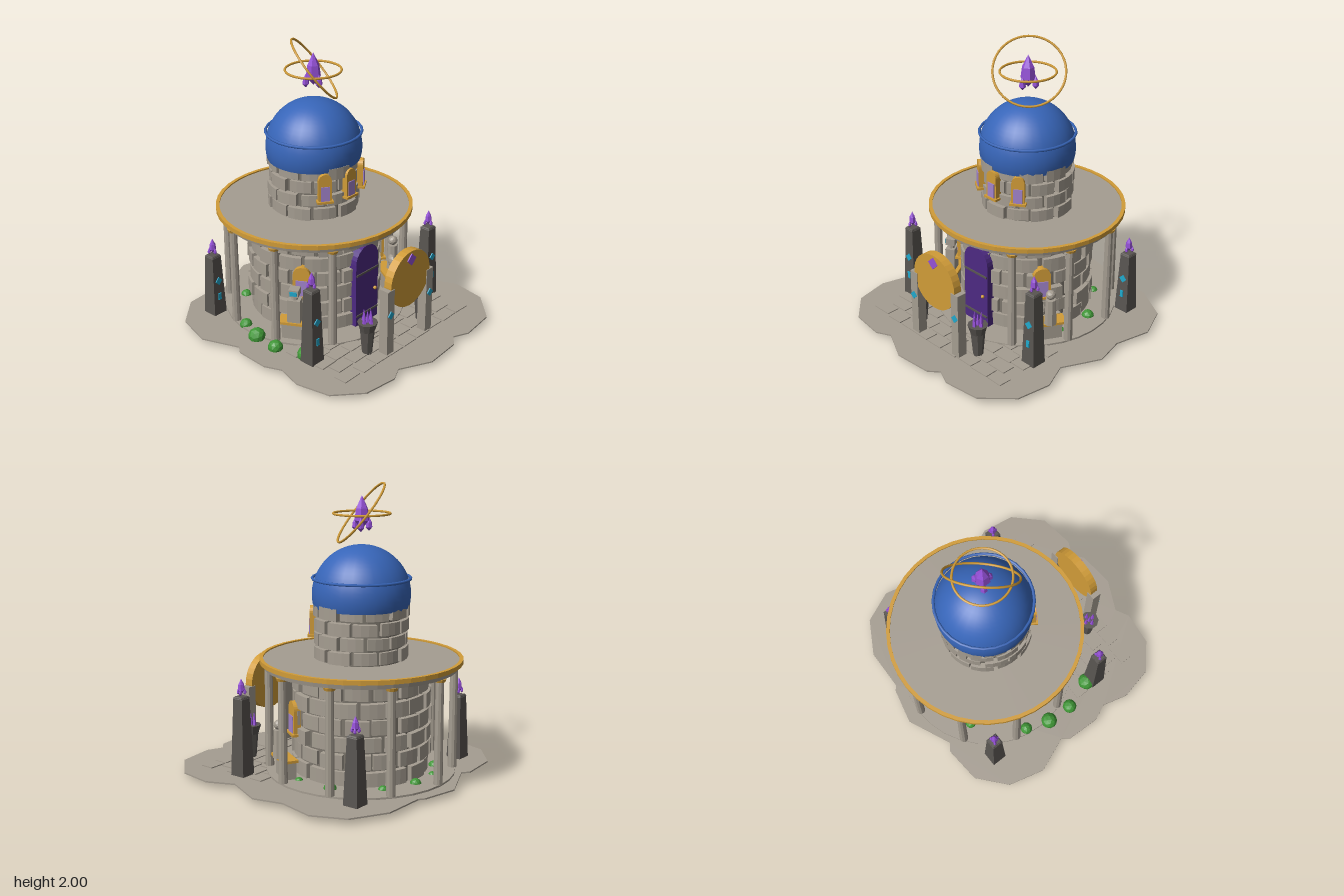
import * as THREE from 'three';
import { mergeGeometries } from 'three/addons/utils/BufferGeometryUtils.js';

const paint = (name, color) => Object.assign(new THREE.MeshStandardMaterial({ color }), { name });
const stone = paint('stone', 0xa59d91), mortar = paint('mortar', 0x7d776d), dark = paint('dark stone', 0x595551);
const gold = paint('gold', 0xd19c38), blue = paint('dome blue', 0x3765b8), crystal = paint('crystal purple', 0x9550d8);
const doorPaint = paint('door purple', 0x4d2a82), pane = paint('window violet', 0xa284cc);
const cyan = paint('rune cyan', 0x20a8cc), green = paint('bush green', 0x3f9636);

const TZ = -0.2; // tower axis
let seed = 7;
const rnd = () => ((seed = (seed * 16807) % 2147483647) / 2147483647);
const jit = (a) => (rnd() - 0.5) * 2 * a;

function flat(geo) {
  const g = geo.index ? geo.toNonIndexed() : geo;
  g.computeVertexNormals();
  return g;
}
function add(parent, name, geo, mat, x = 0, y = 0, z = 0) {
  const m = new THREE.Mesh(geo, mat);
  m.name = name;
  m.position.set(x, y, z);
  parent.add(m);
  return m;
}
function group(parent, name, x = 0, y = 0, z = 0, turn = 0) {
  const g = new THREE.Group();
  g.name = name;
  g.position.set(x, y, z);
  g.rotation.y = turn;
  parent.add(g);
  return g;
}
const box = (w, h, d) => new THREE.BoxGeometry(w, h, d);
const cyl = (top, bottom, h, n) => flat(new THREE.CylinderGeometry(top, bottom, h, n));

// Arched slab standing on y = 0, facing +z
function arch(w, h, d) {
  const r = w / 2, s = new THREE.Shape();
  s.moveTo(-r, 0);
  s.lineTo(r, 0);
  s.lineTo(r, h - r);
  s.absarc(0, h - r, r, 0, Math.PI, false);
  return new THREE.ExtrudeGeometry(s, { depth: d, bevelEnabled: false, curveSegments: 6 });
}

// Courses of chamfered blocks bent around the tower
function masonry(radius, y0, rows, rowH, count) {
  const parts = [];
  for (let r = 0; r < rows; r++) {
    for (let i = 0; i < count; i++) {
      const step = (Math.PI * 2) / count;
      const g = new THREE.BoxGeometry(step * radius - 0.014, rowH - 0.01 + jit(0.005), 0.08, 3, 1, 1);
      const p = g.attributes.position, out = jit(0.012), tilt = jit(0.03);
      const a0 = (i + (r % 2) / 2) * step + jit(0.025);
      for (let k = 0; k < p.count; k++) {
        const x = p.getX(k), y = p.getY(k), z = p.getZ(k), c = z > 0 ? 0.93 : 1;
        const a = a0 + (x * c) / radius, R = radius - 0.04 + z + out;
        p.setXYZ(k, R * Math.sin(a), y0 + (r + 0.5) * rowH + y * c + x * tilt, R * Math.cos(a));
      }
      parts.push(flat(g));
    }
  }
  return mergeGeometries(parts);
}

// Pointed crystal with three small shoots, height about 1
function crystalCluster(parent, x, y, z, s) {
  const g = group(parent, 'crystalCluster', x, y, z);
  g.scale.setScalar(s);
  const spike = (r, h) => flat(new THREE.LatheGeometry(
    [[0, 0], [r, h * 0.27], [r * 0.8, h * 0.62], [0, h]].map((q) => new THREE.Vector2(...q)), 6));
  add(g, 'mainCrystal', spike(0.22, 0.95), crystal, 0, 0.05, 0);
  for (let i = 0; i < 3; i++) {
    const a = (i * Math.PI * 2) / 3 + Math.PI / 2;
    add(g, 'smallCrystal', spike(0.1, 0.4), crystal, Math.cos(a) * 0.22, 0, Math.sin(a) * 0.22);
  }
}

const diamond = (s) => box(s, s, 0.008).rotateZ(Math.PI / 4);

function windowAt(parent, turn, R, y, w, h) {
  const g = group(parent, 'window', 0, y, TZ, turn);
  add(g, 'windowFrame', arch(w, h, 0.05), gold, 0, 0, R - 0.05);
  add(g, 'windowPane', box(w * 0.68, h * 0.52, 0.008), pane, 0, h * 0.3, R + 0.002);
  add(g, 'windowSill', box(w * 1.25, 0.016, 0.06), gold, 0, 0, R - 0.015);
}

export function createModel() {
  const model = new THREE.Group();
  model.name = 'observatoryTower';

  // Scalloped ground (x, z pairs)
  const rim = [-65, -83, -38, -85, -33, -81, -1, -95, 24, -89, 28, -86, 58, -85, 82, -71, 92, -48, 86, -22, 91, -1,
    78, 26, 86, 45, 82, 69, 63, 88, 37, 91, 26, 86, 19, 92, -8, 94, -30, 83, -40, 88, -64, 85, -82, 69, -87, 45,
    -82, 27, -87, 15, -86, -9, -82, -14, -92, -40, -85, -66];
  const pts = [];
  for (let i = 0; i < rim.length; i += 2) pts.push(new THREE.Vector2(rim[i] / 100, -rim[i + 1] / 100));
  add(model, 'ground', new THREE.ExtrudeGeometry(new THREE.Shape(pts), { depth: 0.01, bevelEnabled: false })
    .rotateX(-Math.PI / 2), stone, 0, 0.034, 0);
  add(model, 'plinth', cyl(0.65, 0.65, 0.02, 32), stone, 0, 0.047, TZ);

  // Paving in staggered rows
  for (let r = 0; r < 5; r++) {
    for (let i = 0; i < 9; i++) {
      const x = -0.58 + i * 0.145 + (r % 2) * 0.06 + jit(0.008);
      if (x > 0.62) continue;
      const p = add(model, 'pavingStone', box(0.132 + jit(0.012), 0.014, 0.095), stone, x, 0.044, 0.2 + r * 0.11 + jit(0.008));
      p.rotation.y = jit(0.04);
    }
  }

  // Tower walls
  add(model, 'lowerCore', cyl(0.44, 0.44, 0.74, 32), mortar, 0, 0.402, TZ);
  add(model, 'lowerWall', masonry(0.47, 0.055, 6, 0.115, 16), stone, 0, 0, TZ);
  add(model, 'upperCore', cyl(0.29, 0.29, 0.4, 24), mortar, 0, 1.0, TZ);
  add(model, 'upperWall', masonry(0.32, 0.83, 4, 0.096, 11), stone, 0, 0, TZ);

  // Gallery roof with gilded rim
  add(model, 'deck', cyl(0.672, 0.66, 0.055, 40), stone, 0, 0.798, TZ);
  add(model, 'deckRim', flat(new THREE.LatheGeometry([[0.665, 0.805], [0.69, 0.805], [0.69, 0.835], [0.665, 0.835], [0.665, 0.805]]
    .map((q) => new THREE.Vector2(...q)), 40)), gold, 0, 0, TZ);

  // Columns, leaving the entrance open
  for (let i = 1; i < 10; i++) {
    const g = group(model, 'column', 0, 0, TZ, (i * Math.PI) / 5);
    add(g, 'columnShaft', cyl(0.027, 0.031, 0.7, 10), stone, 0, 0.405, 0.63);
    add(g, 'columnCapital', cyl(0.043, 0.036, 0.02, 10), gold, 0, 0.762, 0.63);
  }

  // Dome and its band
  add(model, 'dome', new THREE.SphereGeometry(0.333, 28, 18, 0, Math.PI * 2, 0, 1.82), blue, 0, 1.26, TZ).material.name = 'dome blue';
  add(model, 'domeUnderside', flat(new THREE.CircleGeometry(0.323, 28).rotateX(Math.PI / 2)), blue, 0, 1.179, TZ);
  add(model, 'domeBand', new THREE.TorusGeometry(0.33, 0.01, 6, 28).rotateX(Math.PI / 2), blue, 0, 1.37, TZ);

  // Floating crystal and rings
  crystalCluster(model, 0, 1.68, TZ, 0.24);
  add(model, 'levelRing', new THREE.TorusGeometry(0.19, 0.008, 6, 40).rotateX(Math.PI / 2), gold, 0, 1.8, TZ);
  const ring = add(model, 'tiltedRing', new THREE.TorusGeometry(0.245, 0.008, 6, 40), gold, 0.01, 1.805, TZ);
  ring.quaternion.setFromUnitVectors(new THREE.Vector3(0, 0, 1), new THREE.Vector3(0.55, 0.62, 0.56).normalize());

  // Windows and door
  for (const a of [-0.6, 0, 0.6]) windowAt(model, a, 0.345, 0.98, 0.09, 0.2);
  for (const s of [-1, 1]) windowAt(model, s * 1.0, 0.5, 0.34, 0.12, 0.225);
  const door = group(model, 'door', 0, 0.055, TZ);
  add(door, 'doorLeaf', arch(0.23, 0.6, 0.06), doorPaint, 0, 0, 0.435);
  for (const y of [0.08, 0.4]) add(door, 'doorBand', box(0.22, 0.014, 0.008), dark, 0, y, 0.498);
  add(door, 'doorKnob', flat(new THREE.IcosahedronGeometry(0.013, 1)), gold, 0.075, 0.24, 0.505);

  // Round gate at the front
  const gate = group(model, 'gate', 0, 0, 0.645);
  add(gate, 'gateDisc', flat(new THREE.CylinderGeometry(0.203, 0.203, 0.06, 32).rotateX(Math.PI / 2)), gold, 0, 0.54, 0);
  add(gate, 'gateGem', diamond(0.062), crystal, 0, 0.685, 0.034);

  for (const s of [-1, 1]) {
    add(gate, 'gatePost', box(0.068, 0.49, 0.07), stone, s * 0.205, 0.287, 0);
    add(gate, 'gateRune', diamond(0.042), cyan, s * 0.208, 0.35, 0.038);

    // Braziers
    const b = group(model, 'brazier', s * 0.29, 0, 0.55);
    add(b, 'brazierStem', cyl(0.05, 0.034, 0.18, 8), dark, 0, 0.133, 0);
    add(b, 'brazierBowl', cyl(0.07, 0.05, 0.065, 10), dark, 0, 0.252, 0);
    for (let i = 0; i < 5; i++) {
      const r = i ? 0.032 : 0, a = (i * Math.PI) / 2;
      add(b, 'brazierSpike', flat(new THREE.ConeGeometry(0.017, 0.1, 5)), crystal, r * Math.cos(a), 0.325, r * Math.sin(a));
    }

    // Obelisks, the rear pair shorter
    for (const [z, h] of [[0.345, 0.54], [-0.605, 0.45]]) {
      const o = group(model, 'obelisk', s * 0.61, 0.045, z);
      add(o, 'obeliskShaft', flat(new THREE.CylinderGeometry(0.054, 0.078, h, 4).rotateY(Math.PI / 4)), dark, 0, h / 2, 0);
      add(o, 'obeliskCap', flat(new THREE.CylinderGeometry(0.045, 0.058, 0.015, 4).rotateY(Math.PI / 4)), dark, 0, h, 0);
      add(o, 'obeliskRune', diamond(0.042), cyan, 0, h * 0.58, 0.048).rotation.x = -0.03;
      add(o, 'obeliskBar', box(0.024, 0.05, 0.008), cyan, 0, h * 0.31, 0.053).rotation.x = -0.03;
      crystalCluster(o, 0, h + 0.015, 0, 0.115);
    }

    // Side benches with a bust on the left and a block with a rune on the right
    const k = group(model, 'bench', 0, 0, TZ, s * 1.06);
    add(k, 'benchBase', box(0.18, 0.13, 0.08), stone, 0, 0.12, 0.55);
    add(k, 'benchTop', box(0.23, 0.018, 0.11), gold, 0, 0.186, 0.56);
    if (s > 0) {
      add(k, 'bustBody', cyl(0.036, 0.044, 0.19, 8), stone, 0, 0.29, 0.6);
      add(k, 'bustHead', flat(new THREE.IcosahedronGeometry(0.035, 1)), stone, 0, 0.42, 0.6);
      add(k, 'bustShield', flat(new THREE.SphereGeometry(0.045, 10, 6)), stone, -0.06, 0.29, 0.57).scale.z = 0.6;
    } else {
      add(k, 'reliquaryBody', box(0.09, 0.17, 0.07), stone, 0, 0.28, 0.57);
      add(k, 'reliquaryHead', box(0.07, 0.05, 0.07), stone, 0, 0.42, 0.57);
      add(k, 'reliquaryNeck', cyl(0.02, 0.025, 0.05, 8), stone, 0, 0.38, 0.57);
      add(k, 'reliquaryRune', box(0.05, 0.03, 0.008), cyan, 0, 0.42, 0.608);
    }
  }

  // Bushes (x, z, radius)
  for (const [x, z, r] of [[-0.66, -0.13, 0.06], [-0.67, 0.06, 0.052], [-0.6, 0.28, 0.062], [-0.6, -0.3, 0.045],
    [0.5, -0.32, 0.045], [0.49, -0.05, 0.03], [0.3, -0.6, 0.035], [0.07, -0.7, 0.04], [-0.31, -0.6, 0.04], [-0.15, -0.69, 0.03]]) {
    const b = add(model, 'bush', flat(new THREE.IcosahedronGeometry(r, 1)), green, x, 0.03 + r * 0.5, z);
    b.rotation.set(rnd() * 3, rnd() * 3, 0);
  }
  return model;
}
